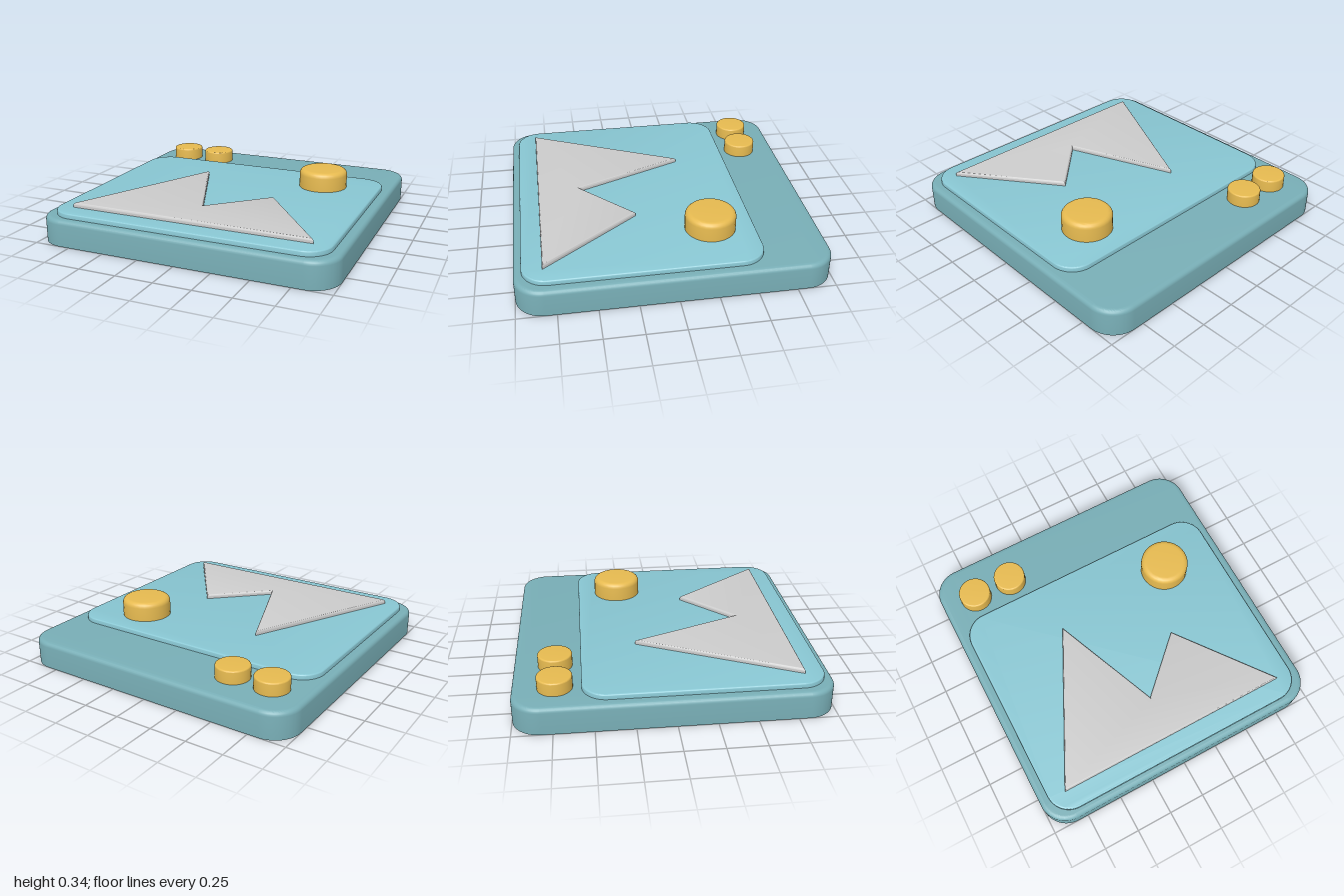
import * as THREE from 'three';
import { toCreasedNormals } from 'three/addons/utils/BufferGeometryUtils.js';

const COLORS = { base: 0x78aeb6, panel: 0x88c6d2, gold: 0xe6ba50, grey: 0xcccccc };

// Flat-bottomed slab with a rounded top rim; outline drawn in (x, -z)
function slab(name, shape, y, height, bevel, color) {
  const geometry = new THREE.ExtrudeGeometry(shape, {
    depth: height - bevel, curveSegments: 16,
    bevelEnabled: true, bevelThickness: bevel, bevelSize: bevel, bevelOffset: -bevel, bevelSegments: 5,
  });
  // Flatten the lower bevel so only the top rim is rounded
  const p = geometry.attributes.position;
  for (let i = 0; i < p.count; i++) p.setZ(i, Math.max(0, p.getZ(i)));
  geometry.rotateX(-Math.PI / 2);
  const mesh = new THREE.Mesh(toCreasedNormals(geometry, 0.6), new THREE.MeshStandardMaterial({ color }));
  mesh.name = name;
  mesh.position.y = y;
  return mesh;
}

// Rounded rectangle between two z limits, centred on x
function roundedRect(halfWidth, zBack, zFront, r) {
  const s = new THREE.Shape();
  const w = halfWidth, b = -zFront, t = -zBack;
  s.moveTo(-w + r, b);
  s.lineTo(w - r, b);
  s.absarc(w - r, b + r, r, -Math.PI / 2, 0);
  s.absarc(w - r, t - r, r, 0, Math.PI / 2);
  s.absarc(-w + r, t - r, r, Math.PI / 2, Math.PI);
  s.absarc(-w + r, b + r, r, Math.PI, Math.PI * 1.5);
  return s;
}

// Round disc placed by its centre
function disc(name, x, z, radius, y, height, bevel) {
  const s = new THREE.Shape().absarc(0, 0, radius, 0, Math.PI * 2);
  const mesh = slab(name, s, y, height, bevel, COLORS.gold);
  mesh.position.x = x;
  mesh.position.z = z;
  return mesh;
}

export function createModel() {
  const model = new THREE.Group();
  model.name = 'pictureWindowIcon';

  // Window body and raised picture panel
  model.add(slab('base', roundedRect(1, -1, 1, 0.18), 0, 0.178, 0.03, COLORS.base));
  model.add(slab('panel', roundedRect(0.935, -0.57, 0.95, 0.16), 0.175, 0.036, 0.012, COLORS.panel));

  // Two-peaked mountain silhouette
  const ridge = [[-0.82, 0.82], [0.82, 0.82], [0.34, 0.185], [-0.02, 0.53], [-0.32, -0.205]];
  const outline = new THREE.Shape(ridge.map(([x, z]) => new THREE.Vector2(x, -z)));
  model.add(slab('mountains', outline, 0.21, 0.032, 0.016, COLORS.grey));

  // Sun and the two title-bar buttons
  model.add(disc('sun', 0.543, -0.278, 0.167, 0.21, 0.13, 0.035));
  [-0.755, -0.482].forEach((x, i) =>
    model.add(disc(`button${i + 1}`, x, -0.733, 0.111, 0.175, 0.09, 0.01)));

  return model;
}
